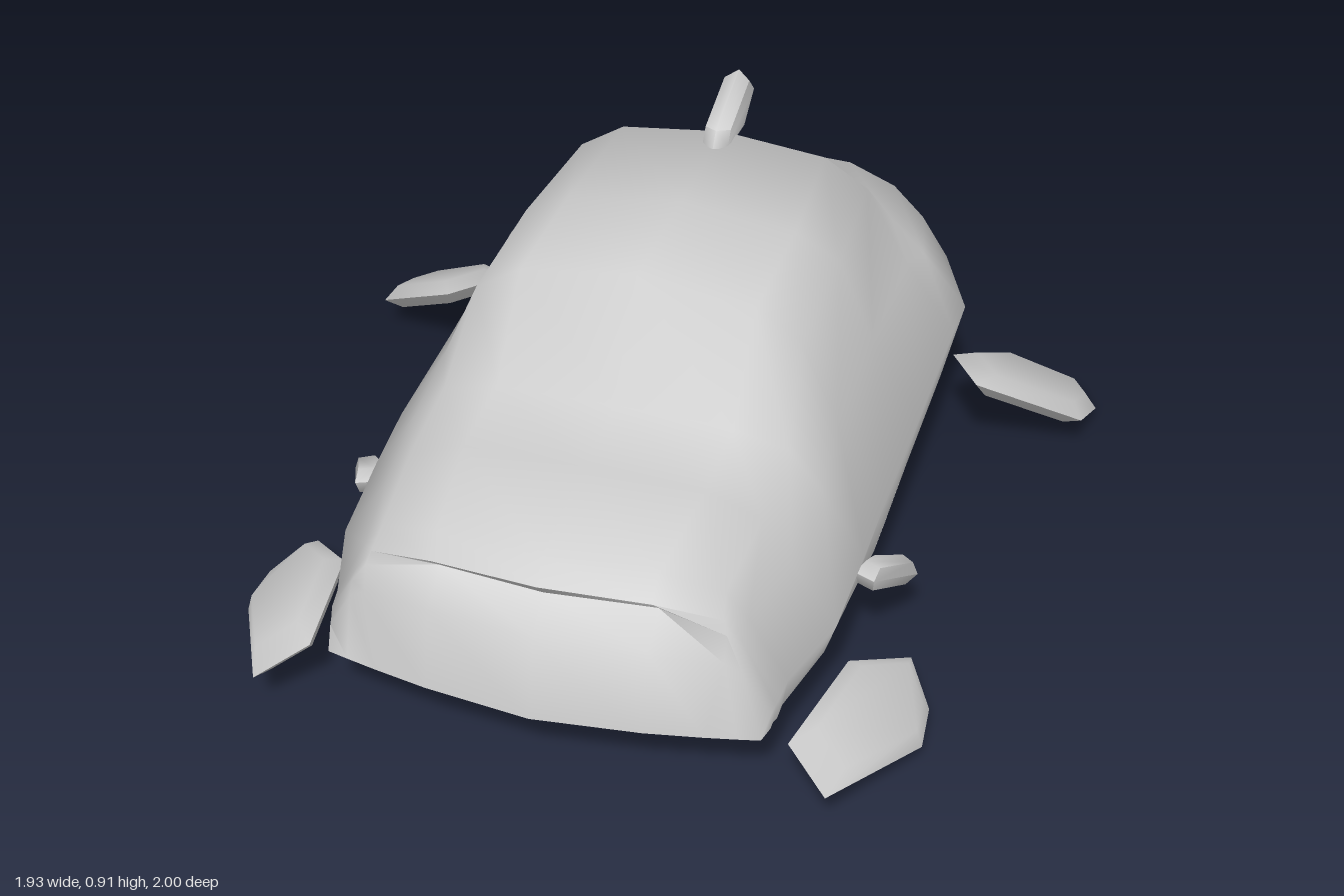
import * as THREE from 'three';
import { toCreasedNormals, mergeVertices } from 'three/addons/utils/BufferGeometryUtils.js';
import { ConvexGeometry } from 'three/addons/geometries/ConvexGeometry.js';

const grey = new THREE.MeshStandardMaterial({ color: 0xcccccc, side: THREE.DoubleSide });

// Half sections from roof centre to rim: z, top y, then x,y of five points outward
const HULL = [
  [-0.93, 0.53, 0.30, 0.51, 0.35, 0.46, 0.39, 0.38, 0.43, 0.30, 0.44, 0.27],
  [-0.86, 0.59, 0.25, 0.58, 0.37, 0.53, 0.45, 0.45, 0.52, 0.34, 0.50, 0.25],
  [-0.64, 0.645, 0.28, 0.62, 0.41, 0.57, 0.50, 0.48, 0.615, 0.34, 0.585, 0.21],
  [-0.52, 0.82, 0.26, 0.79, 0.37, 0.72, 0.48, 0.52, 0.61, 0.34, 0.585, 0.20],
  [-0.15, 0.835, 0.28, 0.80, 0.39, 0.74, 0.48, 0.53, 0.605, 0.33, 0.58, 0.185],
  [0.20, 0.85, 0.28, 0.81, 0.39, 0.74, 0.48, 0.53, 0.60, 0.33, 0.58, 0.18],
  [0.38, 0.61, 0.28, 0.605, 0.41, 0.57, 0.49, 0.47, 0.595, 0.31, 0.57, 0.19],
  [0.60, 0.595, 0.28, 0.59, 0.41, 0.54, 0.48, 0.43, 0.585, 0.28, 0.56, 0.20],
];
const NOSE = [
  [0.88, 0.56, 0.25, 0.55, 0.39, 0.51, 0.44, 0.44, 0.525, 0.27, 0.515, 0.20],
  [0.925, 0.51, 0.25, 0.50, 0.40, 0.47, 0.44, 0.41, 0.52, 0.26, 0.515, 0.20],
  [0.88, 0.46, 0.25, 0.455, 0.41, 0.44, 0.45, 0.38, 0.515, 0.25, 0.51, 0.20],
  [0.96, 0.40, 0.25, 0.39, 0.41, 0.38, 0.45, 0.35, 0.51, 0.24, 0.51, 0.20],
  [1.00, 0.20, 0.25, 0.20, 0.38, 0.20, 0.45, 0.20, 0.50, 0.20, 0.50, 0.20],
];
const REAR_SHIFT = [0, 0.05, 0.02, 0, -0.02, -0.02];

// The nose sweeps back toward its corners
const sweep = (x, z) =>
  -0.08 * Math.pow(Math.abs(x) / 0.5, 1.5) * THREE.MathUtils.clamp((z - 0.6) / 0.25, 0, 1);

function add(parent, name, geometry) {
  const mesh = new THREE.Mesh(geometry, grey);
  mesh.name = name;
  parent.add(mesh);
  return mesh;
}

// Surface through rows of equally many points
function skin(rows, crease) {
  const n = rows[0].length, index = [];
  for (let j = 0; j < rows.length - 1; j++)
    for (let i = 0; i < n - 1; i++) {
      const a = j * n + i, c = a + n;
      index.push(a, a + 1, c, a + 1, c + 1, c);
    }
  const g = new THREE.BufferGeometry();
  g.setAttribute('position', new THREE.Float32BufferAttribute(rows.flat(2), 3));
  g.setIndex(index);
  return toCreasedNormals(mergeVertices(g), crease);
}

// Full section row, mirrored from its left half
function hullRow(r, j) {
  const half = [];
  for (let i = 0; i < 6; i++) {
    const x = i ? r[2 * i] : 0, y = i ? r[2 * i + 1] : r[1];
    let z = r[0] + sweep(x, r[0]);
    if (j === 0) z += REAR_SHIFT[i];
    if (j === 10 && i > 1) z += 0.06; // the slot recess ends at the bumper corners
    half.push([x, y, z]);
  }
  const right = half.slice(1).map(([x, y, z]) => [-x, y, z]);
  return [...half.reverse(), ...right];
}

// Shallow V-shaped belly: z, half width, rim y, keel y
function belly() {
  const f = [-1, -0.9, -0.76, -0.5, 0, 0.5, 0.76, 0.9, 1];
  return [
    [0.06, 0.58, 0.18, 0.095], [0.2, 0.58, 0.18, 0.10], [0.38, 0.57, 0.19, 0.135],
    [0.6, 0.56, 0.20, 0.165], [0.88, 0.515, 0.20, 0.19], [1.0, 0.5, 0.20, 0.20],
  ].map(([z, w, rim, keel]) => f.map(k =>
    [k * w, keel + (rim - keel) * Math.abs(k), z + sweep(k * w, z)]));
}

// Underside ledge from the rim inward: z, rim x, inner x, rim y
const SILL = [
  [-0.86, 0.50, 0.47, 0.25], [-0.64, 0.585, 0.51, 0.21], [-0.52, 0.585, 0.48, 0.20],
  [-0.15, 0.58, 0.38, 0.185], [0.12, 0.58, 0.30, 0.18],
];
const sill = s => SILL.map(([z, rim, inner, y]) => {
  const row = [[s * inner, y + 0.01, z], [s * rim, y, z]];
  return s > 0 ? row : row.reverse();
});

// Smoothly bevelled plate around an outline of points
function plate(points, normal, t, shrink) {
  const c = new THREE.Vector3();
  points.forEach(p => c.addScaledVector(p, 1 / points.length));
  const n = normal.clone().normalize(), all = [];
  for (const p of points) {
    const q = p.clone().lerp(c, shrink);
    all.push(p, q.clone().addScaledVector(n, t), q.clone().addScaledVector(n, -t));
  }
  const g = new ConvexGeometry(all);
  g.deleteAttribute('normal');
  return toCreasedNormals(mergeVertices(g), 1.1);
}

// Outlines in x,z and the tilted plane y = y0 + a*x + b*z
const FINS = [
  { name: 'rearFin', t: 0.03, y0: 0.733, a: -0.4, b: 0.43,
    o: [[0.61, -0.54], [0.69, -0.74], [0.91, -0.83], [0.965, -0.72], [0.95, -0.54], [0.70, -0.38]] },
  { name: 'frontFin', t: 0.035, y0: 0.465, a: -0.5, b: 0,
    o: [[0.73, 0.45], [0.80, 0.57], [0.81, 0.69], [0.66, 0.985], [0.555, 0.90], [0.61, 0.57]] },
  { name: 'smallFin', t: 0.028, y0: 0.215, a: -0.2, b: 0.45,
    o: [[0.66, 0.23], [0.70, 0.27], [0.63, 0.43], [0.58, 0.41], [0.59, 0.33]] },
];

// Round engine pod, lying along z with its nozzle at the back
function pod(r, back, length) {
  const profile = [[0, 0], [0.5, 0.01], [0.8, 0.03], [0.94, 0.12], [1, 0.28], [0.93, 0.5],
    [0.97, 0.66], [0.78, 0.86], [0.45, 0.96], [0, 1]];
  const g = new THREE.LatheGeometry(profile.map(([x, y]) => new THREE.Vector2(x * r, y * length)), 24);
  g.rotateX(Math.PI / 2);
  g.translate(0, 0, back);
  return g;
}

export function createModel() {
  const model = new THREE.Group();
  model.name = 'hoverCar';

  add(model, 'bodyShell', skin([...HULL, ...NOSE].map(hullRow), 1.3));
  add(model, 'belly', skin(belly(), 0.6));

  for (const s of [1, -1]) {
    const side = s > 0 ? 'left ' : 'right ';
    add(model, side + 'sill', skin(sill(s), 0.6));
    add(model, side + 'engine', pod(0.11, -0.95, 0.34)).position.set(s * 0.185, 0.37, 0);
    // Side fins
    for (const { name, t, y0, a, b, o } of FINS) {
      const pts = o.map(([x, z]) => new THREE.Vector3(s * x, y0 + a * x + b * z, z));
      add(model, side + name, plate(pts, new THREE.Vector3(-a * s, 1, -b), t, 0.25));
    }
  }

  // Fin on the roof
  const roof = [[-0.42, 0.82], [-0.45, 0.86], [-0.66, 0.92], [-0.72, 0.86], [-0.61, 0.79], [-0.5, 0.80]]
    .map(([z, y]) => new THREE.Vector3(0, y, z));
  add(model, 'roofFin', plate(roof, new THREE.Vector3(1, 0, 0), 0.032, 0.2));

  // Main engine under the open tail
  add(model, 'mainEngine', pod(0.165, -1, 0.7)).position.y = 0.355;

  return model;
}
